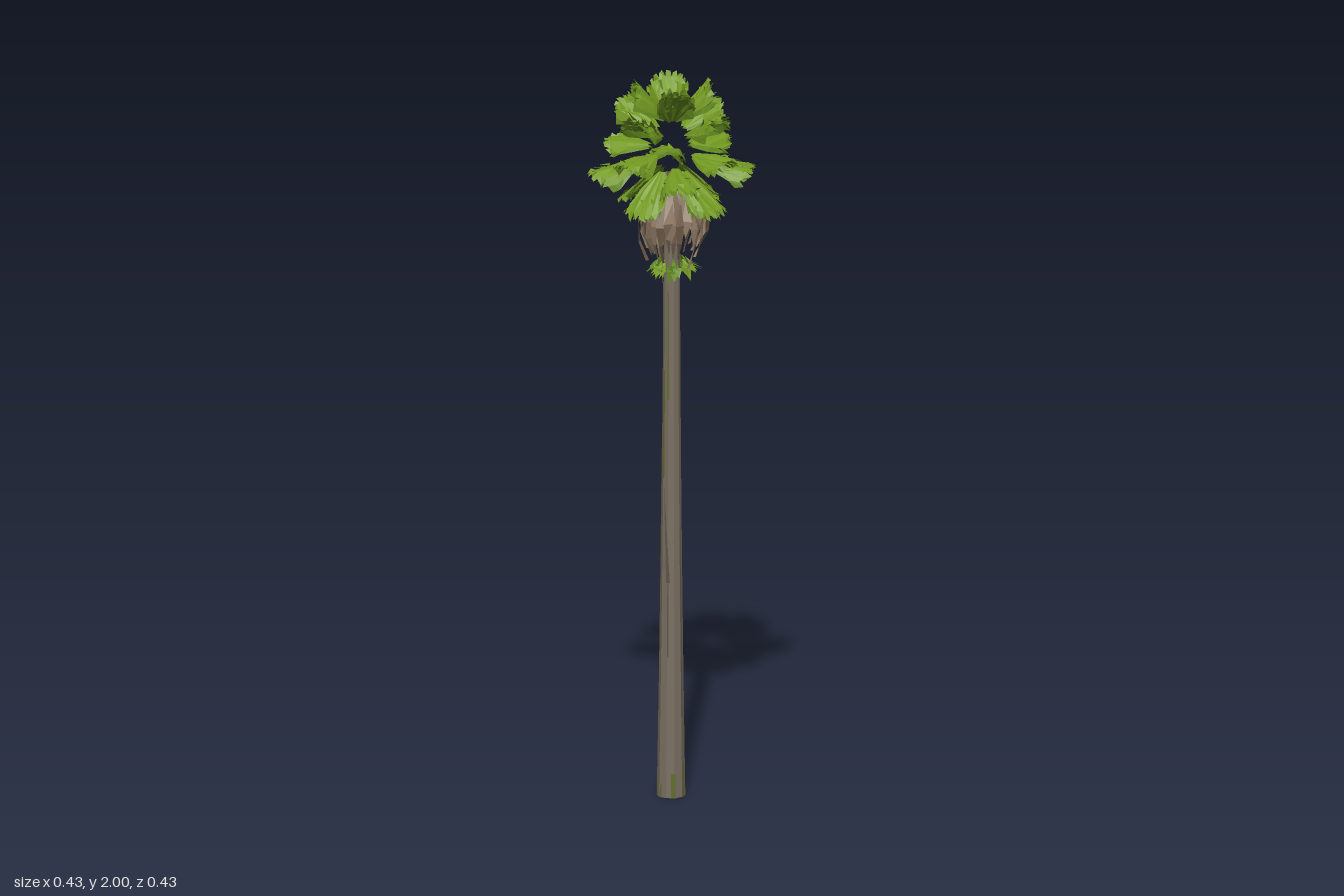
import * as THREE from 'three';

const mat = (name, color, side = THREE.FrontSide) => {
  const m = new THREE.MeshStandardMaterial({ color, side, flatShading: true });
  m.name = name;
  return m;
};

function seeded(seed) {
  return () => {
    seed = (seed * 16807) % 2147483647;
    return seed / 2147483647;
  };
}

// Trunk radius and sideways lean at a given height
const trunkRadius = (y) => 0.0225 + 0.016 * Math.pow(Math.max(0, 1 - y / 1.5), 1.6);
const trunkX = (y) => -0.005 + 0.002 * y;

// A curved piece of bark between two heights, offset from the trunk surface
function bark(y0, y1, offset, start = 0, length = Math.PI * 2, sides = 10) {
  const open = length < 6;
  const g = new THREE.CylinderGeometry(1, 1, y1 - y0, sides, 10, open, start, length);
  g.translate(0, (y0 + y1) / 2, 0);
  const p = g.attributes.position;
  for (let i = 0; i < p.count; i++) {
    const y = p.getY(i), r = trunkRadius(y) + offset;
    p.setXYZ(i, p.getX(i) * r + trunkX(y), y, p.getZ(i) * r);
  }
  g.computeVertexNormals();
  return g;
}

// A broad, ragged fan leaf reaching along +z, with its upper side to +y
function fanGeometry(rand, L, W, cup, droop, ragged) {
  const n = 9, v = [];
  const edge = (t, s) => {
    const a = t * 1.6;
    const x = W * Math.sin(a) * Math.pow(s, 0.7) * (1 + (rand() - 0.5) * 0.1);
    const z = L * (0.62 + 0.38 * Math.sqrt(Math.max(0, Math.cos(a)))) * s;
    const y = -cup * t * t * s - droop * s * s * s + (rand() - 0.5) * ragged * s;
    return [x, y, z];
  };
  const rows = [0.08, 0.5, 0.88].map((s) =>
    Array.from({ length: n + 1 }, (_, i) => edge((i / n) * 2 - 1, s)));
  for (let i = 0; i < n; i++) {
    const t = ((i + 0.5) / n) * 2 - 1;
    for (let k = 0; k < 2; k++) {
      const a = rows[k], b = rows[k + 1];
      v.push(...a[i], ...b[i], ...b[i + 1], ...a[i], ...b[i + 1], ...a[i + 1]);
    }
    // Blunt, uneven blade end
    const tipA = edge(t - 0.07, 0.95 + rand() * 0.07), tipB = edge(t + 0.07, 0.95 + rand() * 0.07);
    const o = rows[2];
    v.push(...o[i], ...tipA, ...tipB, ...o[i], ...tipB, ...o[i + 1]);
    // Loose leaflet standing off the blade
    const q = edge(t, 0.5 + rand() * 0.35), w = 0.006 + rand() * 0.008;
    v.push(q[0] - w, q[1], q[2],
      q[0] + (rand() - 0.5) * 0.025, q[1] + (rand() - 0.6) * ragged * 2, q[2] + 0.03,
      q[0] + w, q[1], q[2] + 0.004);
  }
  const g = new THREE.BufferGeometry();
  g.setAttribute('position', new THREE.Float32BufferAttribute(v, 3));
  g.computeVertexNormals();
  return g;
}

export function createModel() {
  const rand = seeded(4271);
  const two = THREE.DoubleSide;
  const barkMat = mat('bark', 0x7a7062);
  const darkBark = mat('dark bark', 0x5f574a, two);
  const moss = mat('moss', 0x626c30, two);
  const leaf = mat('leaf green', 0x749a22, two);
  const darkLeaf = mat('deep leaf green', 0x638a1e, two);
  const dead = mat('dry leaf', 0x8a7560, two);
  const darkDead = mat('dark dry leaf', 0x6f5b48, two);

  const model = new THREE.Group();
  const add = (parent, geo, material, name) => {
    const m = new THREE.Mesh(geo, material);
    m.name = name;
    parent.add(m);
    return m;
  };

  // Trunk with a few darker and mossy strips
  const trunk = new THREE.Group();
  trunk.name = 'trunk';
  model.add(trunk);
  add(trunk, bark(0, 1.66, 0), barkMat, 'trunkCore');
  for (let i = 0; i < 5; i++) {
    const y0 = 0.2 + rand() * 0.7, y1 = y0 + 0.25 + rand() * 0.35;
    add(trunk, bark(y0, y1, 0.0008, i * 1.257, 0.12, 1), darkBark, 'barkStrip');
  }
  for (let i = 0; i < 7; i++) {
    add(trunk, bark(0, 0.03 + rand() * 0.07, 0.001, i * 0.9, 0.15 + rand() * 0.2, 1), moss, 'baseMoss');
  }
  for (let i = 0; i < 4; i++) {
    add(trunk, bark(0.45 + i * 0.22, 0.75 + i * 0.22, 0.001, 3.4 + i * 0.5, 0.2, 1), moss, 'mossStrip');
  }

  // Peeling bark splinters: foot point, tip point
  const splinters = [
    [-0.03, 0.6, 0.01, -0.05, 0.88, 0.012],
    [0.005, 1.2, -0.022, 0.01, 1.46, -0.042],
    [0.01, 0.02, -0.034, 0.012, 0.36, -0.04],
  ];
  for (const [ax, ay, az, bx, by, bz] of splinters) {
    const a = new THREE.Vector3(ax, ay, az), b = new THREE.Vector3(bx, by, bz);
    const m = add(trunk, new THREE.ConeGeometry(0.006, a.distanceTo(b), 3), darkBark, 'barkSplinter');
    m.position.copy(a).lerp(b, 0.5);
    m.quaternion.setFromUnitVectors(new THREE.Vector3(0, 1, 0), b.sub(a).normalize());
  }

  // One frond: upper fan and a smaller fan beneath
  const frond = (name, az, r, y, pitch, L, W, cup, droop) => {
    const f = new THREE.Group();
    f.name = name;
    f.rotation.order = 'YXZ';
    f.rotation.set(-pitch, az, 0);
    f.position.set(Math.sin(az) * r, y, Math.cos(az) * r);
    add(f, fanGeometry(rand, L, W, cup, droop, 0.016), leaf, 'fan');
    const low = add(f, fanGeometry(rand, L * 0.94, W * 0.92, cup * 1.1, droop, 0.024), darkLeaf, 'underFan');
    low.position.y = -0.009;
    model.add(f);
  };

  // Green tiers: start angle, radius, height, pitch, length, half width, cup, droop
  const diagonal = Math.PI / 4;
  const tiers = [
    ['droopingFrond', 0, 0.035, 1.76, -0.72, 0.178, 0.056, 0.018, 0.005],
    ['lowerFrond', diagonal, 0.07, 1.775, -0.1, 0.16, 0.056, 0.035, 0.015],
    ['levelFrond', 0, 0.065, 1.805, 0.08, 0.147, 0.056, 0.03, 0.012],
    ['upperFrond', 0, 0.04, 1.85, 0.62, 0.15, 0.055, 0.03, 0.015],
    ['crownFrond', diagonal, 0.01, 1.885, 0.93, 0.145, 0.054, 0.03, 0.01],
  ];
  for (const [name, start, ...rest] of tiers) {
    for (let i = 0; i < 4; i++) frond(name, start + (i * Math.PI) / 2, ...rest);
  }

  // Skirt of dry hanging leaves: narrow strips that swell out and curl back in
  const skirt = new THREE.Group();
  skirt.name = 'drySkirt';
  model.add(skirt);
  const profile = [[0.012, 1.74], [0.062, 1.67], [0.093, 1.61], [0.09, 1.56], [0.068, 1.51]];
  const widths = [0.004, 0.01, 0.012, 0.007, 0.001];
  const count = 30;
  for (let i = 0; i < count; i++) {
    const az = (i / count) * Math.PI * 2 + (rand() - 0.5) * 0.12;
    const scale = 0.78 + rand() * 0.27, drop = (rand() - 0.5) * 0.05;
    const v = [], index = [];
    profile.forEach(([r, y], k) => {
      const twist = (rand() - 0.5) * 0.014;
      for (const s of [-1, 1]) {
        const d = s * widths[k], ro = r * scale + s * twist;
        v.push(Math.sin(az) * ro + Math.cos(az) * d, y + drop * (k / 4), Math.cos(az) * ro - Math.sin(az) * d);
      }
      if (k) index.push(2 * k - 2, 2 * k, 2 * k - 1, 2 * k - 1, 2 * k, 2 * k + 1);
    });
    const g = new THREE.BufferGeometry();
    g.setAttribute('position', new THREE.Float32BufferAttribute(v, 3));
    g.setIndex(index);
    g.computeVertexNormals();
    add(skirt, g, i % 3 ? dead : darkDead, 'dryLeaf');
  }

  // Small green tufts at the foot of the skirt
  for (let i = 0; i < 8; i++) {
    const az = i * diagonal;
    const t = add(skirt, fanGeometry(rand, 0.042, 0.014, 0.006, 0.004, 0.016), i % 2 ? darkLeaf : leaf, 'skirtTuft');
    t.rotation.order = 'YXZ';
    t.rotation.set(0.75 + rand() * 0.3, az, 0);
    t.position.set(Math.sin(az) * 0.034, 1.505, Math.cos(az) * 0.034);
  }

  return model;
}
